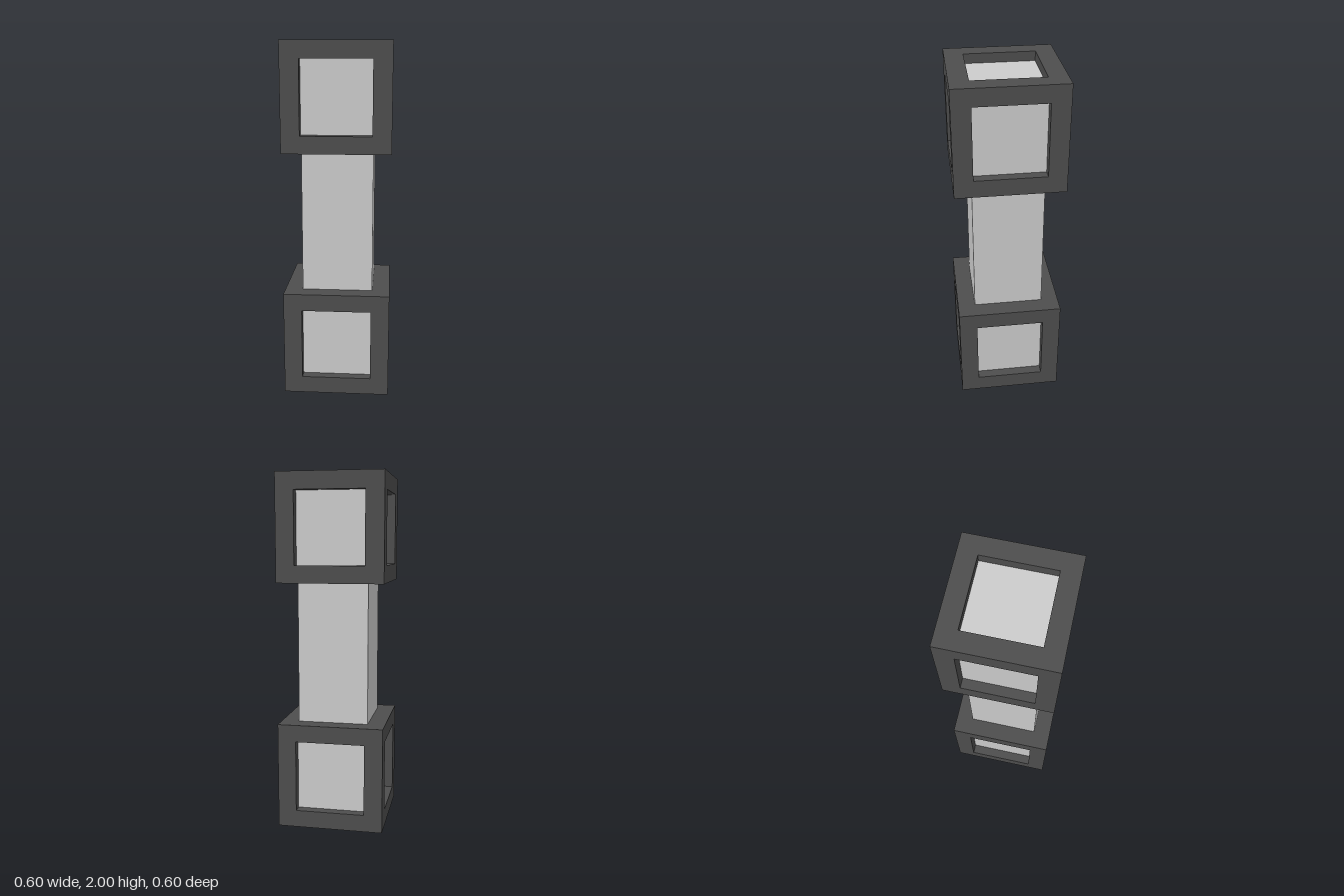
import * as THREE from 'three';

const HALF = 0.3;    // half width of a frame
const OPEN = 0.196;  // half width of a window
const CORE = 0.245;  // half width of the recessed core

export function createModel() {
  const model = new THREE.Group();
  model.name = 'pillar';
  const grey = new THREE.MeshStandardMaterial({ color: 0xcccccc });
  const dark = new THREE.MeshStandardMaterial({ color: 0x4d4d4d });

  const add = (parent, name, geometry, material, x, y, z) => {
    const mesh = new THREE.Mesh(geometry, material);
    mesh.name = name;
    mesh.position.set(x, y, z);
    parent.add(mesh);
  };
  // Box spanning y0..y1, square or not in plan
  const block = (parent, name, material, half, y0, y1, x = 0, z = 0) =>
    add(parent, name, new THREE.BoxGeometry(half * 2, y1 - y0, half * 2), material, x, (y0 + y1) / 2, z);

  // Square slab with a square window through it
  const openSlab = (height) => {
    const square = (path, h) => path.moveTo(-h, -h).lineTo(h, -h).lineTo(h, h).lineTo(-h, h).closePath();
    const shape = square(new THREE.Shape(), HALF);
    shape.holes.push(square(new THREE.Path(), OPEN));
    return new THREE.ExtrudeGeometry(shape, { depth: height, bevelEnabled: false }).rotateX(-Math.PI / 2);
  };

  // Cube frame with four side windows and, optionally, one in the top
  const cube = (name, y, openTop) => {
    const group = new THREE.Group();
    group.name = name;
    group.position.y = y;
    model.add(group);
    const low = 0.097, high = 0.503;
    block(group, 'frameBase', dark, HALF, 0, low);
    if (openTop) add(group, 'frameTop', openSlab(0.6 - high), dark, 0, high, 0);
    else block(group, 'frameTop', dark, HALF, high, 0.6);
    const post = (HALF - OPEN) / 2;
    for (const sx of [-1, 1])
      for (const sz of [-1, 1])
        block(group, 'framePost', dark, post, low, high, sx * (HALF - post), sz * (HALF - post));
    block(group, 'core', grey, CORE, 0.05, 0.547);
  };

  cube('lowerCube', 0, false);
  cube('upperCube', 1.4, true);
  block(model, 'shaft', grey, 0.2, 0.6, 1.4);

  return model;
}
